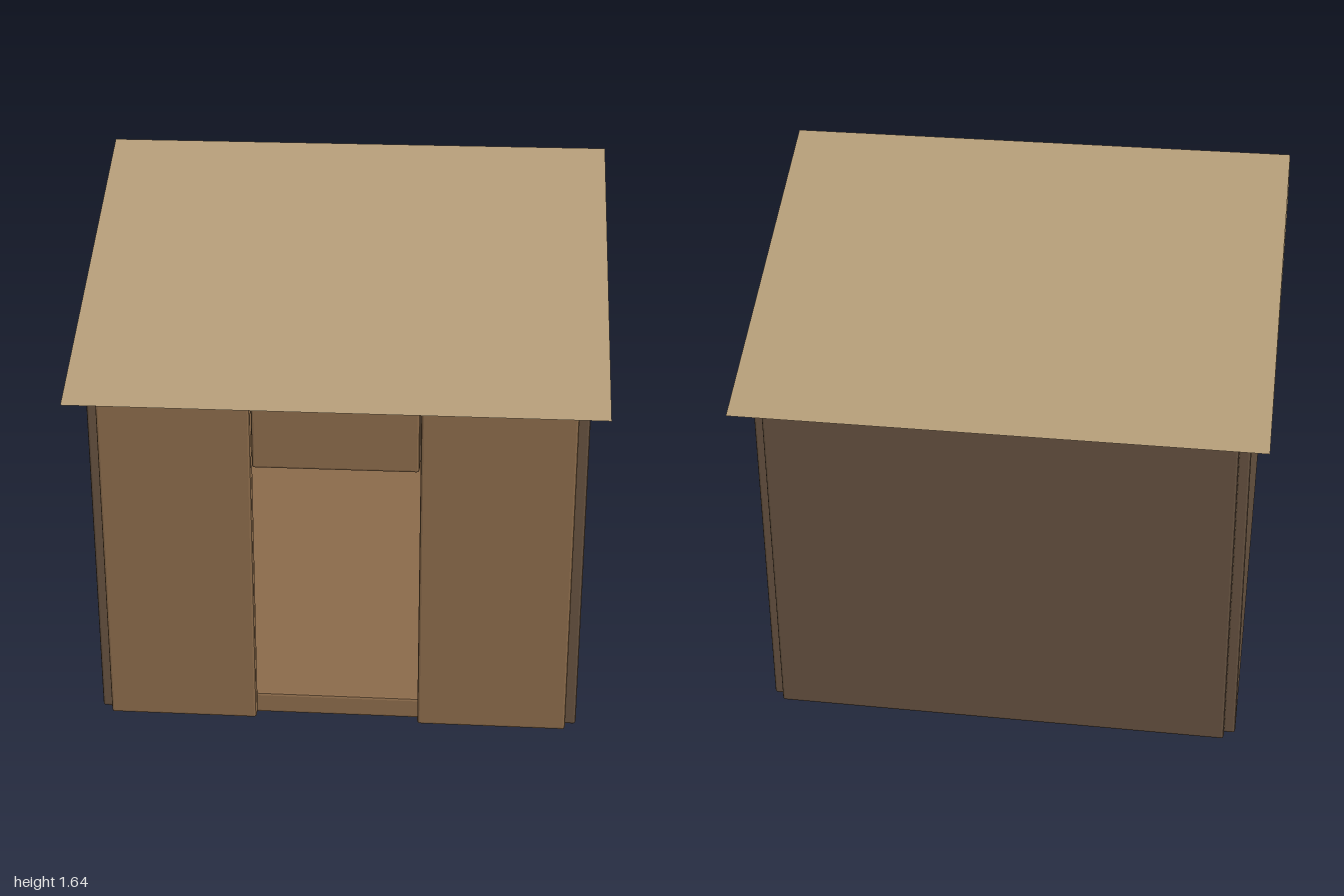
import * as THREE from 'three';
import { RoundedBoxGeometry } from 'three/addons/geometries/RoundedBoxGeometry.js';

const lightWood = new THREE.MeshStandardMaterial({ color: 0x8a6a4a, flatShading: true });
const darkWood = new THREE.MeshStandardMaterial({ color: 0x65513f, flatShading: true });
const roofing = new THREE.MeshStandardMaterial({ color: 0xb39b77, flatShading: true });

// Chamfered panel given by its min and max corners
function panel(name, [x0, y0, z0], [x1, y1, z1], material) {
  const geometry = new RoundedBoxGeometry(x1 - x0, y1 - y0, z1 - z0, 1, 0.008);
  const mesh = new THREE.Mesh(geometry, material);
  mesh.position.set((x0 + x1) / 2, (y0 + y1) / 2, (z0 + z1) / 2);
  mesh.name = name;
  return mesh;
}

export function createModel() {
  const hut = new THREE.Group();
  hut.name = 'hut';
  const top = 1.095;

  // Floor slab; its front edge forms the door sill
  hut.add(panel('floor', [-0.725, 0, -0.905], [0.725, 0.07, 0.905], lightWood));

  // Side walls and back wall, with a small notch at each corner
  hut.add(panel('leftWall', [0.72, 0, -0.905], [0.76, top, 0.905], darkWood));
  hut.add(panel('rightWall', [-0.76, 0, -0.905], [-0.72, top, 0.905], darkWood));
  hut.add(panel('backWall', [-0.725, 0, -0.94], [0.725, top, -0.9], darkWood));

  // Front panels either side of the doorway, and the lintel above it
  hut.add(panel('leftFrontPanel', [0.257, 0, 0.9], [0.725, top, 0.94], lightWood));
  hut.add(panel('rightFrontPanel', [-0.725, 0, 0.9], [-0.257, top, 0.94], lightWood));
  hut.add(panel('lintel', [-0.254, 0.88, 0.9], [0.254, top, 0.94], lightWood));

  // Solid gable roof with its ridge along x
  const gable = new THREE.Shape([
    new THREE.Vector2(-1, 0),
    new THREE.Vector2(1, 0),
    new THREE.Vector2(0, 0.545),
  ]);
  const roofGeometry = new THREE.ExtrudeGeometry(gable, { depth: 1.63, bevelEnabled: false });
  roofGeometry.translate(0, 0, -0.815).rotateY(Math.PI / 2);
  const roof = new THREE.Mesh(roofGeometry, roofing);
  roof.position.y = top;
  roof.name = 'roof';
  hut.add(roof);

  return hut;
}
